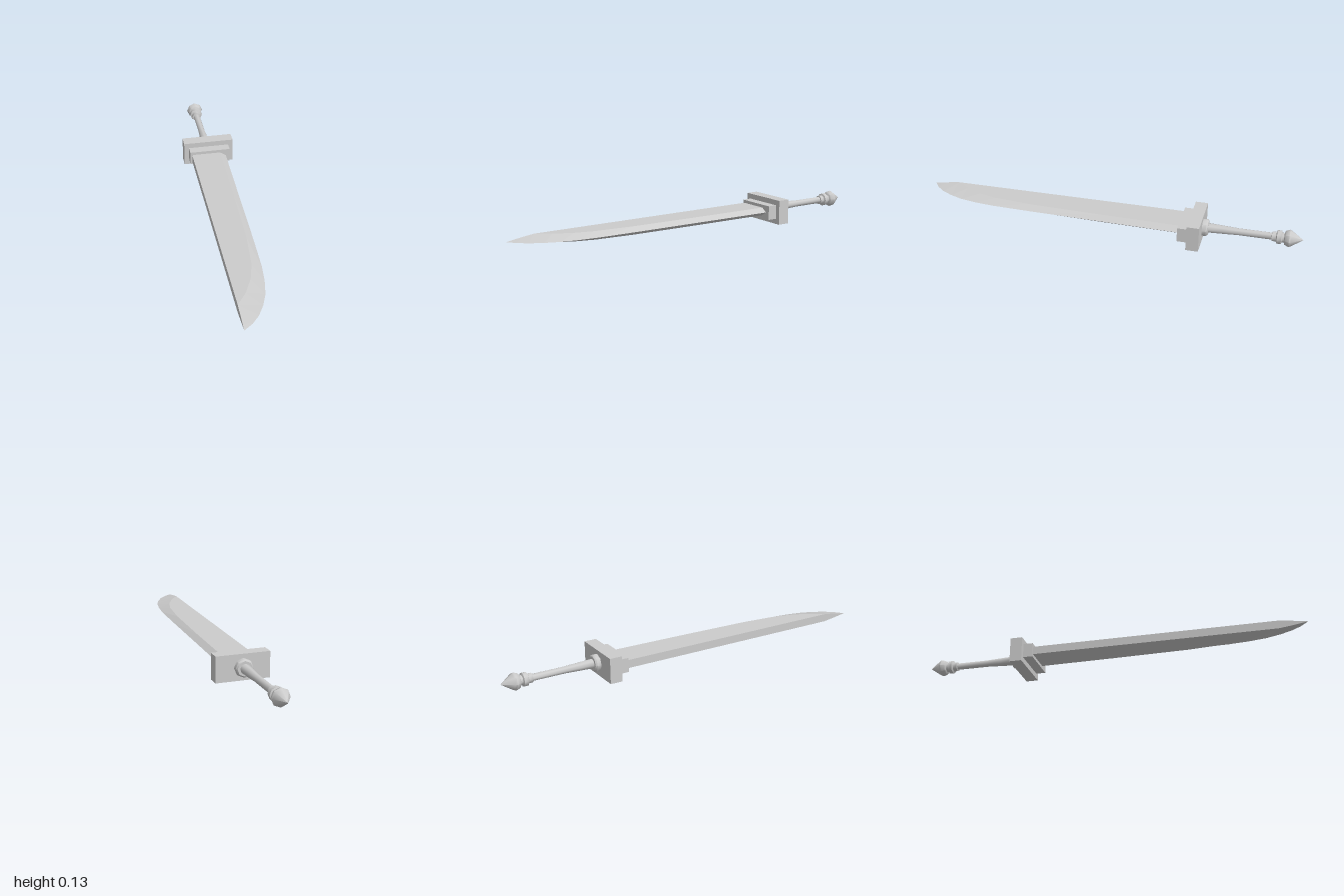
import * as THREE from 'three';
import { toCreasedNormals } from 'three/addons/utils/BufferGeometryUtils.js';

const MID = 0.065; // height of the sword's long axis
const SPINE = -0.1; // x of the blunt back of the blade

const smooth = new THREE.MeshStandardMaterial({ color: 0xcccccc });
const flat = new THREE.MeshStandardMaterial({ color: 0xcccccc, flatShading: true });

function addMesh(group, name, geometry, material) {
  const mesh = new THREE.Mesh(geometry, material);
  mesh.name = name;
  mesh.position.y = MID;
  group.add(mesh);
}

// Box spanning z0..z1 along the sword
function slab(width, height, z0, z1) {
  return new THREE.BoxGeometry(width, height, z1 - z0).translate(0, 0, (z0 + z1) / 2);
}

// Eight-sided turning about the sword's axis; points are [radius, distance behind the centre]
function turned(points) {
  const profile = points.map(([r, d]) => new THREE.Vector2(r, d));
  const geometry = new THREE.LatheGeometry(profile, 8).rotateX(-Math.PI / 2);
  return toCreasedNormals(geometry, THREE.MathUtils.degToRad(50));
}

// Five-sided sections: flat spine, two flat cheeks, two bevels meeting in the edge
function bladeGeometry() {
  // [z, x where the bevel starts, x of the edge, half thickness]
  const stations = [
    [-0.41, 0.055, 0.088, 0.021],
    [0, 0.048, 0.08, 0.021],
    [0.4, 0.037, 0.073, 0.021],
    [0.6, 0.018, 0.067, 0.021],
    [0.7, -0.008, 0.057, 0.021],
    [0.79, -0.05, 0.04, 0.021],
    [0.86, SPINE, 0.014, 0.021],
    [0.92, SPINE, -0.018, 0.013],
    [0.965, SPINE, -0.055, 0.006],
    [1, SPINE, SPINE, 0],
  ];
  const positions = [];
  const index = [];
  stations.forEach(([z, bevel, edge, t], i) => {
    positions.push(SPINE, t, z, bevel, t, z, edge, 0, z, bevel, -t, z, SPINE, -t, z);
    if (i === 0) return;
    for (let j = 0; j < 5; j++) {
      const a = (i - 1) * 5 + j;
      const b = (i - 1) * 5 + ((j + 1) % 5);
      index.push(a, a + 5, b + 5, a, b + 5, b);
    }
  });
  const geometry = new THREE.BufferGeometry();
  geometry.setAttribute('position', new THREE.Float32BufferAttribute(positions, 3));
  geometry.setIndex(index);
  geometry.computeVertexNormals();
  return geometry;
}

export function createModel() {
  const sword = new THREE.Group();
  sword.name = 'sword';

  addMesh(sword, 'blade', bladeGeometry(), flat);
  addMesh(sword, 'bladeCollar', slab(0.22, 0.074, -0.445, -0.39), flat);
  addMesh(sword, 'guard', slab(0.272, 0.13, -0.503, -0.44), flat);

  // Grip with a wide ring against the guard
  addMesh(sword, 'grip', turned([
    [0.045, 0.5], [0.045, 0.523], [0.038, 0.531], [0.025, 0.531],
    [0.022, 0.6], [0.018, 0.68], [0.018, 0.85],
  ]), smooth);

  // Stepped rings and pointed pommel
  addMesh(sword, 'pommel', turned([
    [0.015, 0.845], [0.025, 0.847], [0.025, 0.868], [0.035, 0.872],
    [0.035, 0.893], [0.025, 0.897], [0.025, 0.907], [0.036, 0.911],
    [0.045, 0.932], [0.04, 0.942], [0, 1],
  ]), smooth);

  return sword;
}
